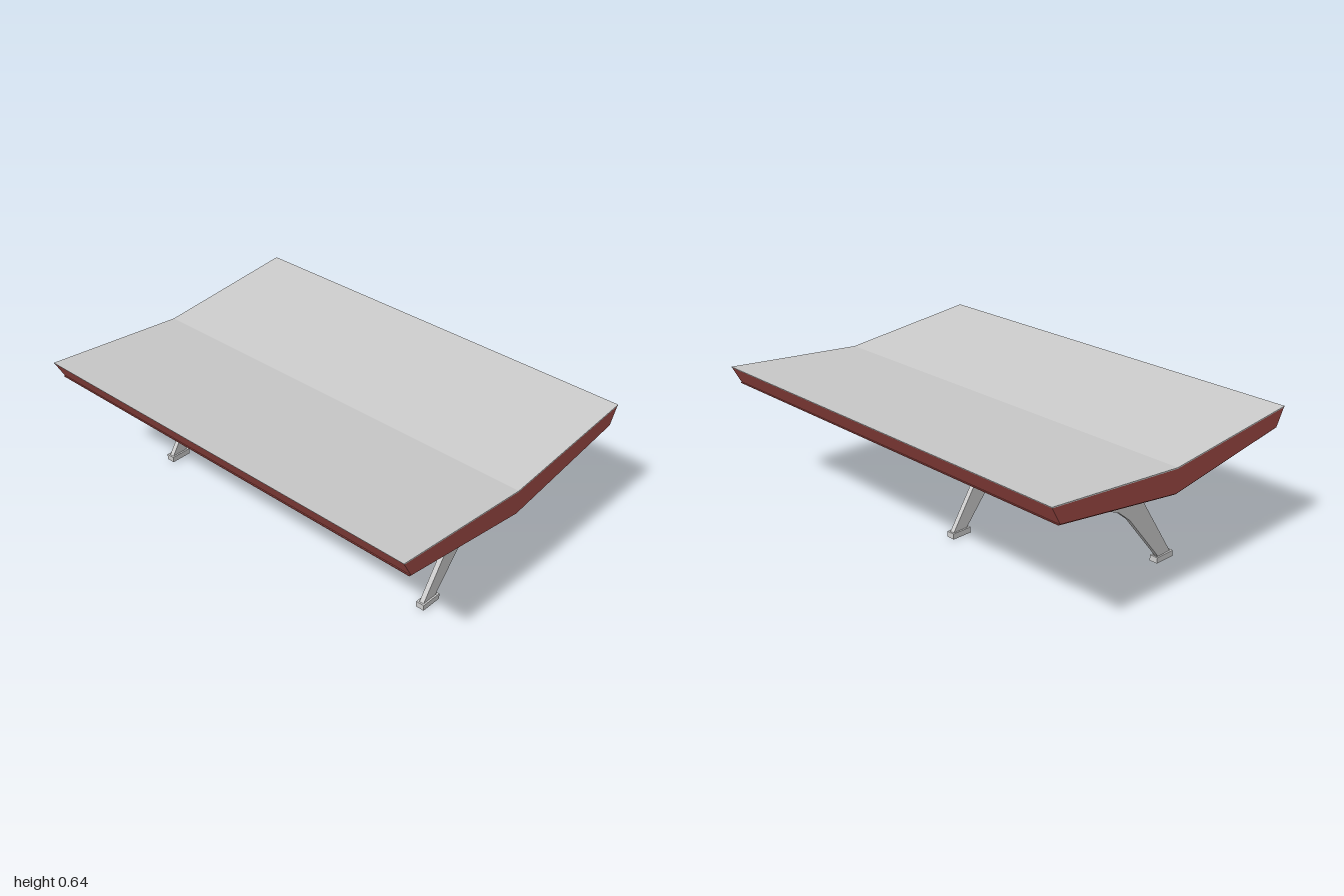
import * as THREE from 'three';

const GREY = 0xcccccc, RED = 0x9f4a45;
const material = (color) => new THREE.MeshStandardMaterial({ color, side: THREE.DoubleSide });

// Flat outline in x/y, extruded along z and centred on z = 0
function slab(name, points, depth, color) {
  const shape = new THREE.Shape(points.map(([x, y]) => new THREE.Vector2(x, y)));
  const geometry = new THREE.ExtrudeGeometry(shape, { depth, bevelEnabled: false });
  geometry.translate(0, 0, -depth / 2);
  const mesh = new THREE.Mesh(geometry, material(color));
  mesh.name = name;
  return mesh;
}

const rect = (w, h) => [[-w / 2, -h / 2], [w / 2, -h / 2], [w / 2, h / 2], [-w / 2, h / 2]]
  .map(([x, y]) => new THREE.Vector2(x, y));

// Sleeve around the bottom of a leg
function foot() {
  const shape = new THREE.Shape(rect(0.102, 0.04));
  shape.holes.push(new THREE.Path(rect(0.086, 0.024)));
  const geometry = new THREE.ExtrudeGeometry(shape, { depth: 0.027, bevelEnabled: false });
  geometry.rotateX(-Math.PI / 2);
  const mesh = new THREE.Mesh(geometry, material(GREY));
  mesh.name = 'foot';
  mesh.position.x = -0.23;
  return mesh;
}

// Y-shaped support plate: one slanted leg, two arms meeting the roof
function support() {
  const group = new THREE.Group();
  group.name = 'support';
  group.add(slab('supportPlate', [
    [-0.275, 0.012], [-0.195, 0.012], [-0.195, 0.025], [0, 0.26], [0.07, 0.318],
    [0.58, 0.542], [0, 0.462], [-0.58, 0.542], [-0.08, 0.318], [-0.268, 0.03],
  ], 0.022, GREY));
  group.add(foot());
  return group;
}

export function createModel() {
  const model = new THREE.Group();
  model.name = 'canopy';

  // Valley roof: thin top sheet, deep fascia body and a thin soffit
  const roof = new THREE.Group();
  roof.name = 'roof';
  roof.add(slab('topSheet', [
    [-0.692, 0.635], [0, 0.570], [0.692, 0.635], [0.695, 0.640], [0, 0.575], [-0.695, 0.640],
  ], 2, GREY));
  roof.add(slab('fascia', [
    [-0.65, 0.558], [0, 0.464], [0.65, 0.558], [0.692, 0.635], [0, 0.570], [-0.692, 0.635],
  ], 1.998, RED));
  roof.add(slab('soffit', [
    [-0.655, 0.554], [0, 0.460], [0.655, 0.554], [0.655, 0.558], [0, 0.464], [-0.655, 0.558],
  ], 1.99, RED));
  model.add(roof);

  // Supports alternate in direction along the length
  [-0.765, 0, 0.765].forEach((z, i) => {
    const s = support();
    s.position.set(0, i === 1 ? 0 : 0.008, z);
    if (i === 1) s.rotation.y = Math.PI;
    model.add(s);
  });

  // Flush lights under both halves of the roof
  const slope = Math.atan2(0.094, 0.655);
  for (const side of [-1, 1]) {
    for (const z of [-0.573, -0.191, 0.191, 0.573]) {
      const light = new THREE.Mesh(new THREE.BoxGeometry(0.025, 0.008, 0.07), material(GREY));
      light.name = 'light';
      light.position.set(side * 0.35, 0.51, z);
      light.rotation.z = side * slope;
      model.add(light);
    }
  }
  return model;
}
